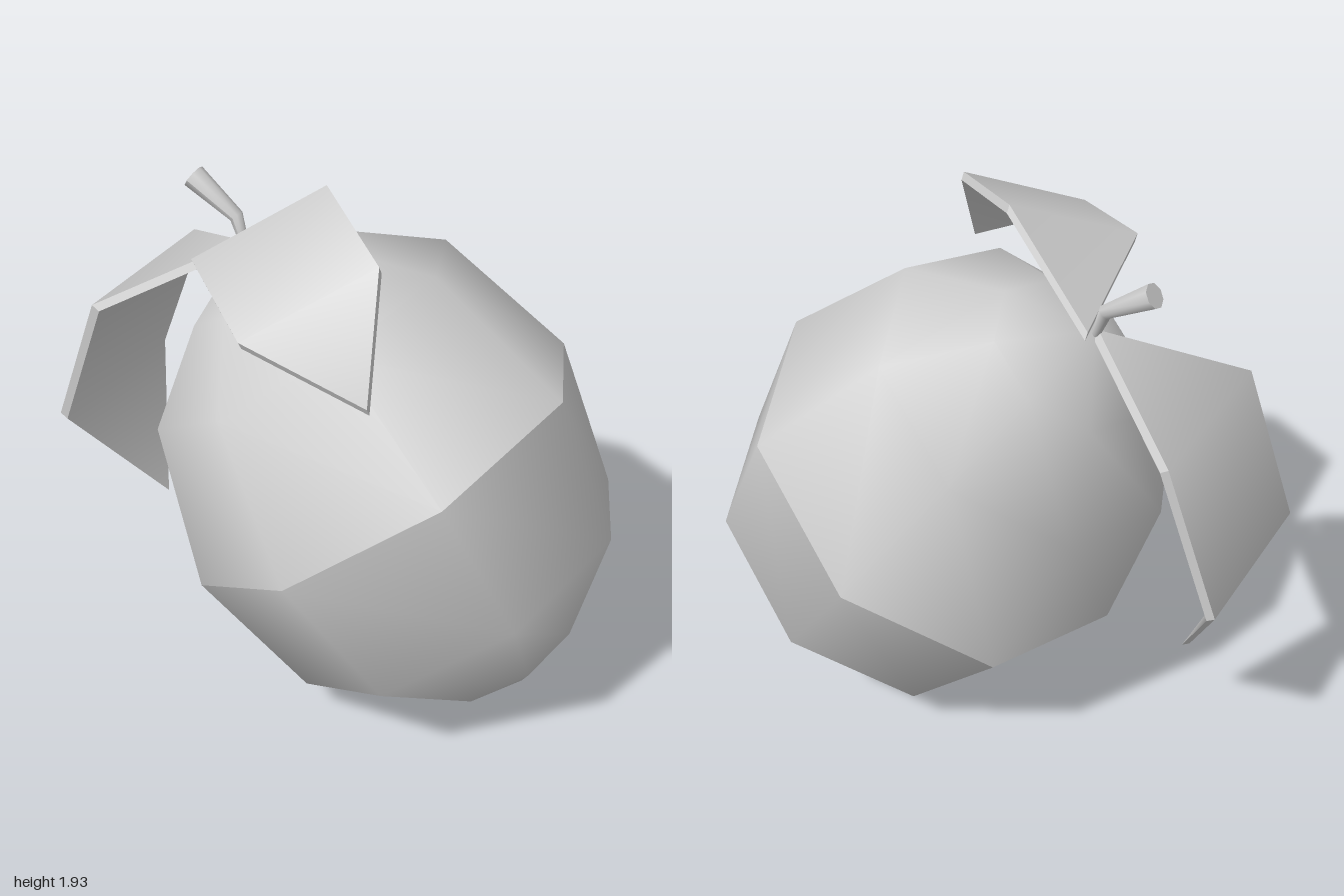
import * as THREE from 'three';
import { mergeVertices } from 'three/addons/utils/BufferGeometryUtils.js';

const material = new THREE.MeshStandardMaterial({ color: 0xcccccc });
const vec = (p) => new THREE.Vector3(...p);

function addMesh(parent, name, geometry) {
  const mesh = new THREE.Mesh(geometry, material);
  mesh.name = name;
  parent.add(mesh);
  return mesh;
}

// Eight-sided turned surface, smooth all over including its pole
function smoothLathe(profile) {
  const lathe = new THREE.LatheGeometry(profile.map(([r, y]) => new THREE.Vector2(r, y)), 8);
  lathe.deleteAttribute('normal');
  lathe.deleteAttribute('uv');
  const geometry = mergeVertices(lathe, 1e-4);
  // drop the collapsed triangles at the pole
  const kept = [];
  const idx = geometry.index.array;
  for (let i = 0; i < idx.length; i += 3) {
    const [a, b, c] = [idx[i], idx[i + 1], idx[i + 2]];
    if (a !== b && b !== c && c !== a) kept.push(a, b, c);
  }
  geometry.setIndex(kept);
  geometry.computeVertexNormals();
  return geometry;
}

// Leaf plate: outline runs base, side 1, side 2, tip, opposite side 2, opposite side 1
// (counter-clockwise seen from outside); the inner skin is shifted by `offset`
function leafGeometry(outline, offset) {
  const outer = outline.map(vec);
  const inner = outer.map((p) => p.clone().add(vec(offset)));
  const points = [...outer, ...inner];
  const faces = [[0, 1, 5], [1, 2, 5], [2, 4, 5], [2, 3, 4]];
  const index = [];
  for (const [a, b, c] of faces) index.push(a, b, c, a + 6, c + 6, b + 6);
  // rim, with its own corners so the edge stays sharp
  for (let i = 0; i < 6; i++) {
    const j = (i + 1) % 6;
    const n = points.length;
    points.push(outer[i], inner[i], inner[j], outer[j]);
    index.push(n, n + 1, n + 2, n, n + 2, n + 3);
  }
  const geometry = new THREE.BufferGeometry().setFromPoints(points);
  geometry.setIndex(index);
  geometry.computeVertexNormals();
  return geometry;
}

// Bent stem: a cylinder whose three rings are moved to the given centres and radii
function stemGeometry(rings) {
  const geometry = new THREE.CylinderGeometry(1, 1, 2, 8, 2);
  const pos = geometry.attributes.position;
  const centres = rings.map((r) => vec(r.at));
  const up = new THREE.Vector3(0, 1, 0);
  const turns = rings.map((r, i) => {
    const along = centres[Math.min(i + 1, 2)].clone().sub(centres[Math.max(i - 1, 0)]).normalize();
    return new THREE.Quaternion().setFromUnitVectors(up, along);
  });
  for (let i = 0; i < pos.count; i++) {
    const row = Math.round(pos.getY(i) + 1);
    const p = new THREE.Vector3(pos.getX(i), 0, pos.getZ(i))
      .multiplyScalar(rings[row].r).applyQuaternion(turns[row]).add(centres[row]);
    pos.setXYZ(i, p.x, p.y, p.z);
  }
  geometry.computeVertexNormals();
  return geometry;
}

export function createModel() {
  const model = new THREE.Group();
  model.name = 'fruit';

  // Tilted body in two smooth halves that meet in a crease at the widest ring
  const body = new THREE.Group();
  body.name = 'body';
  body.position.set(0.165, 0.857, 0);
  body.rotation.z = 0.616;
  model.add(body);
  addMesh(body, 'lowerBody', smoothLathe([[0, -0.981], [0.297, -0.837], [0.655, -0.52], [0.766, 0]]));
  addMesh(body, 'upperBody', smoothLathe([[0.766, 0], [0.592, 0.546], [0.297, 0.774], [0, 0.915]]));

  // Stem, flaring towards its cut end
  addMesh(model, 'stem', stemGeometry([
    { at: [-0.365, 1.59, 0], r: 0.015 },
    { at: [-0.4, 1.69, -0.01], r: 0.025 },
    { at: [-0.564, 1.8, -0.017], r: 0.043 },
  ]));

  // Leaf hanging down the right side
  addMesh(model, 'hangingLeaf', leafGeometry([
    [-0.375, 1.61, 0], [-0.765, 1.405, -0.325], [-0.965, 0.89, -0.34],
    [-0.785, 0.435, -0.02], [-1.0, 0.89, 0.28], [-0.8, 1.405, 0.3],
  ], [0.027, -0.018, 0]));

  // Leaf arching over the front
  addMesh(model, 'frontLeaf', leafGeometry([
    [-0.36, 1.625, -0.05], [-0.33, 1.748, 0.4], [-0.02, 1.67, 0.66],
    [0.37, 1.5, 0.585], [0.295, 1.848, 0.35], [-0.015, 1.93, 0.08],
  ], [0.003, -0.026, -0.012]));

  return model;
}
